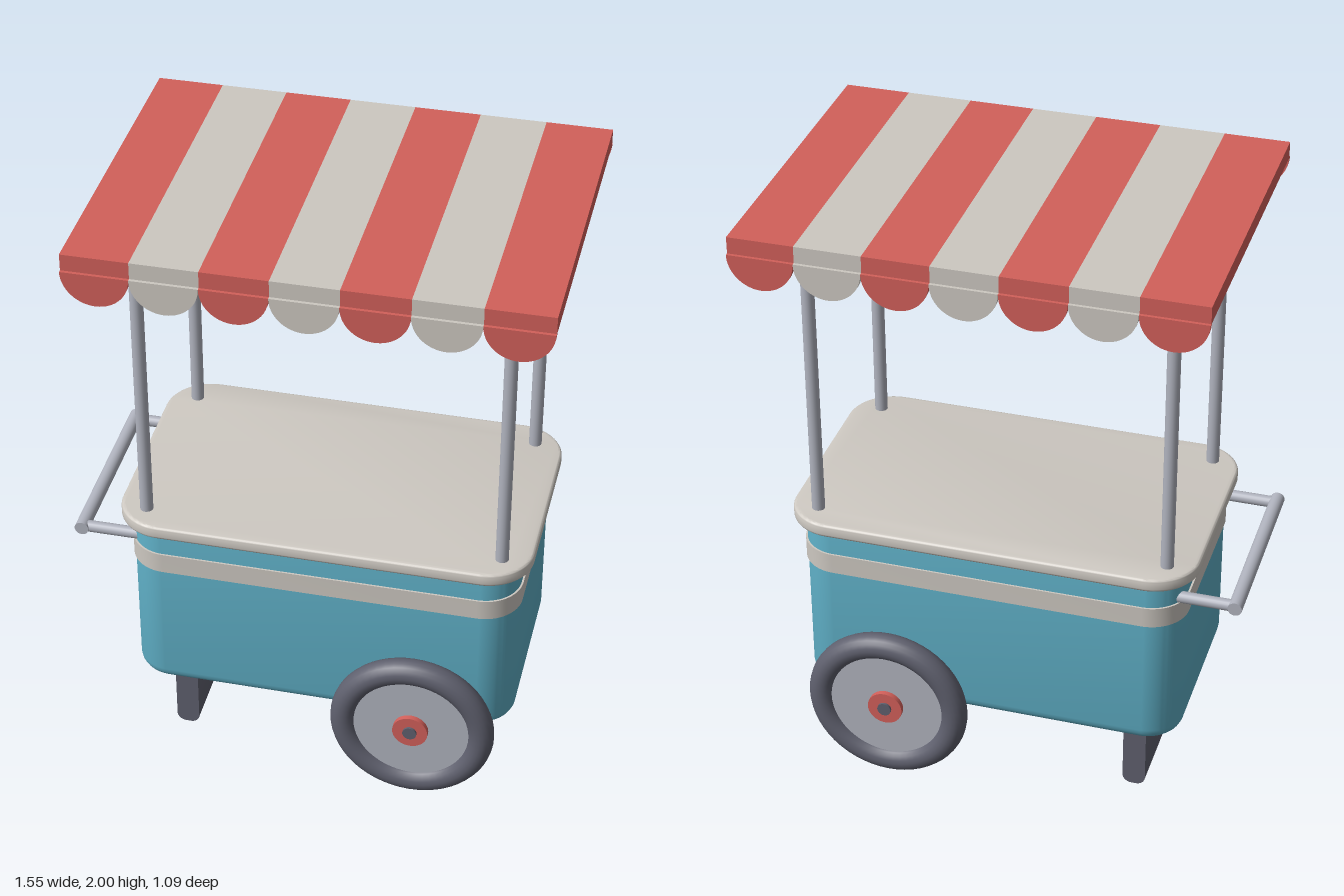
import * as THREE from 'three';
import { toCreasedNormals } from 'three/addons/utils/BufferGeometryUtils.js';

const mat = (name, color) => Object.assign(new THREE.MeshStandardMaterial({ color }), { name });

// Rounded rectangle centred on the origin
function roundedRect(w, h, r) {
  const s = new THREE.Shape(), x = w / 2, y = h / 2;
  s.absarc(x - r, y - r, r, 0, Math.PI / 2);
  s.absarc(-x + r, y - r, r, Math.PI / 2, Math.PI);
  s.absarc(-x + r, -y + r, r, Math.PI, Math.PI * 1.5);
  s.absarc(x - r, -y + r, r, Math.PI * 1.5, Math.PI * 2);
  s.closePath();
  return s;
}

// Upright slab with rounded corners and softened top and bottom edges
function slab(w, d, r, y0, y1, bevel) {
  const g = new THREE.ExtrudeGeometry(roundedRect(w - 2 * bevel, d - 2 * bevel, r - bevel), {
    depth: y1 - y0 - 2 * bevel, curveSegments: 10,
    bevelEnabled: bevel > 0, bevelSize: bevel, bevelThickness: bevel, bevelSegments: 5,
  });
  g.translate(0, 0, bevel).rotateX(-Math.PI / 2).translate(0, y0, 0);
  return toCreasedNormals(g, 0.6);
}

export function createModel() {
  const group = new THREE.Group();
  group.name = 'streetCart';
  const red = mat('red', 0xd2605a), cream = mat('cream', 0xcdc8c1), blue = mat('blue', 0x5fafc6);
  const metal = mat('metal', 0xb0b3be), dark = mat('darkGrey', 0x5f606e);

  const add = (name, geo, material, x = 0, y = 0, z = 0, parent = group) => {
    const m = new THREE.Mesh(geo, material);
    m.name = name;
    m.position.set(x, y, z);
    parent.add(m);
    return m;
  };
  const rodX = (r, l) => new THREE.CylinderGeometry(r, r, l, 20).rotateZ(Math.PI / 2);
  const rodZ = (r, l, n = 24) => new THREE.CylinderGeometry(r, r, l, n).rotateX(Math.PI / 2);

  // Body, trim band and counter top
  const cx = 0.044;
  add('body', slab(1.26, 0.738, 0.12, 0.26, 0.9, 0.045), blue, cx);
  add('trimBand', slab(1.272, 0.75, 0.125, 0.725, 0.795, 0), cream, cx);
  add('counterTop', slab(1.336, 0.81, 0.15, 0.88, 0.926, 0.012), cream, cx);

  // Canopy posts
  for (const x of [-0.53, 0.617]) for (const z of [-0.31, 0.31])
    add('canopyPost', new THREE.CylinderGeometry(0.021, 0.021, 1.04, 20), metal, x, 1.43, z);

  // Striped canopy with a scalloped valance on both long sides
  const canopy = new THREE.Group();
  canopy.name = 'canopy';
  group.add(canopy);
  const x0 = -0.685, stripe = 1.46 / 7, r = stripe / 2;
  const half = new THREE.Shape();
  half.absarc(0, 0, r, Math.PI, Math.PI * 2);
  half.closePath();
  const scallop = toCreasedNormals(
    new THREE.ExtrudeGeometry(half, { depth: 0.016, bevelEnabled: false, curveSegments: 24 }), 0.6);
  const panel = new THREE.BoxGeometry(stripe, 0.055, 1.068);
  for (let i = 0; i < 7; i++) {
    const x = x0 + stripe * (i + 0.5), m = i % 2 ? cream : red;
    add('canopyStripe', panel, m, x, 1.9725, 0, canopy);
    add('frontScallop', scallop, m, x, 1.946, 0.528, canopy);
    add('backScallop', scallop, m, x, 1.946, -0.544, canopy);
  }

  // Wheels on a shared axle
  const wx = 0.365, wy = 0.274;
  for (const side of [-1, 1]) {
    const wheel = new THREE.Group();
    wheel.name = side > 0 ? 'frontWheel' : 'backWheel';
    wheel.position.set(wx, wy, side * 0.418);
    group.add(wheel);
    add('tyre', new THREE.TorusGeometry(0.227, 0.043, 20, 56), dark, 0, 0, 0, wheel);
    add('wheelDisc', rodZ(0.205, 0.04, 48), metal, 0, 0, 0, wheel);
    add('hub', rodZ(0.058, 0.075, 32), red, 0, 0, 0, wheel);
  }
  add('axle', rodZ(0.023, 0.926), dark, wx, wy, 0);

  // Support leg: a wide plate with rounded edges
  const leg = new THREE.ExtrudeGeometry(roundedRect(0.076, 0.26, 0.03),
    { depth: 0.546, bevelEnabled: false, curveSegments: 8 }).translate(0, 0, -0.273);
  add('supportLeg', toCreasedNormals(leg, 0.6), dark, -0.432, 0.13, 0);

  // Push handle
  const handle = new THREE.Group();
  handle.name = 'pushHandle';
  group.add(handle);
  for (const z of [-0.298, 0.298]) add('handleArm', rodX(0.019, 0.19), metal, -0.66, 0.808, z, handle);
  add('handleBar', rodZ(0.023, 0.64), metal, -0.751, 0.81, 0, handle);

  return group;
}
